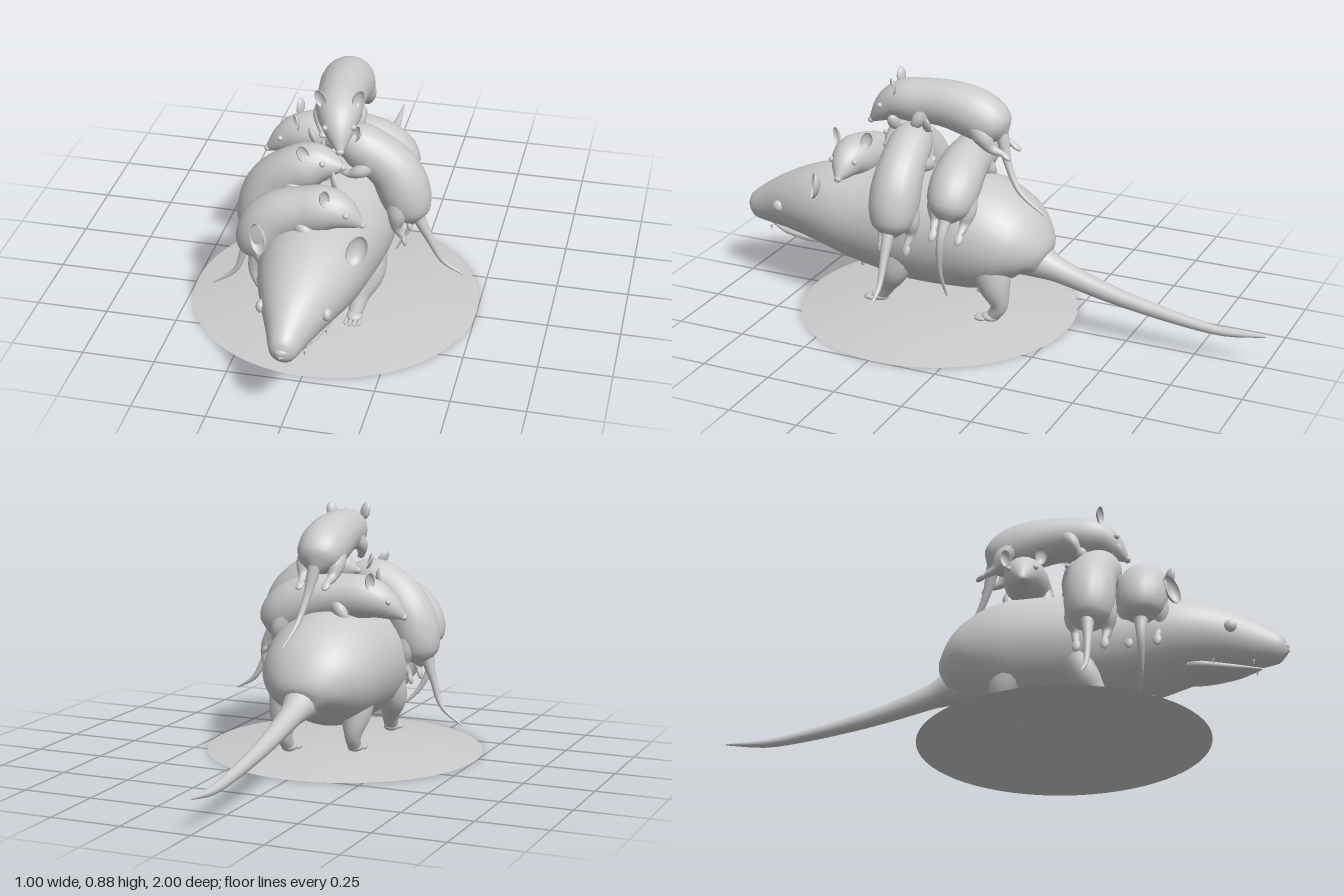
import * as THREE from 'three';

const V = (p) => new THREE.Vector3(...p);
const material = new THREE.MeshStandardMaterial({ color: 0xcccccc });
const thin = new THREE.MeshStandardMaterial({ color: 0xcccccc, side: THREE.DoubleSide });

function add(parent, name, geometry, pos = [0, 0, 0], scale = [1, 1, 1], mat = material) {
  const mesh = new THREE.Mesh(geometry, mat);
  mesh.name = name;
  mesh.position.set(...pos);
  mesh.scale.set(...scale);
  parent.add(mesh);
  return mesh;
}

const ball = new THREE.SphereGeometry(1, 16, 12);
const cup = new THREE.SphereGeometry(1, 20, 8, 0, Math.PI * 2, 0, Math.PI / 2).rotateX(-Math.PI / 2);

// Local axes on a path: side, up, forward, centre
function frame(curve, t, upAt) {
  const c = curve.getPoint(t);
  const f = curve.getTangent(t);
  const up = upAt(c).clone();
  up.addScaledVector(f, -up.dot(f)).normalize();
  return { c, f, up, side: new THREE.Vector3().crossVectors(up, f) };
}

// Skin of elliptical rings along a path; radii are numbers or [half width, half height]
function loft(points, radii, upAt = () => V([1, 0.13, 0.1]), rings = 24, sides = 16) {
  const path = new THREE.CatmullRomCurve3(points.map(V));
  const size = new THREE.CatmullRomCurve3(radii.map((r) => V(r.length ? [r[0], r[1], 0] : [r, r, 0])));
  const pos = [];
  const index = [];
  for (let i = 0; i <= rings; i++) {
    // rings gather towards both ends so they close roundly
    const t = 0.5 - 0.5 * Math.cos((Math.PI * i) / rings);
    const { c, up, side } = frame(path, t, upAt);
    const r = size.getPoint(t);
    for (let j = 0; j < sides; j++) {
      const a = (j / sides) * Math.PI * 2;
      const p = c.clone().addScaledVector(side, Math.cos(a) * r.x).addScaledVector(up, Math.sin(a) * r.y);
      pos.push(p.x, p.y, p.z);
      if (i < rings) {
        const k = (j + 1) % sides;
        const A = i * sides + j, B = i * sides + k;
        index.push(A, B, B + sides, A, B + sides, A + sides);
      }
    }
  }
  const g = new THREE.BufferGeometry();
  g.setAttribute('position', new THREE.Float32BufferAttribute(pos, 3));
  g.setIndex(index);
  g.computeVertexNormals();
  return g;
}

function ears(parent, x, y, z, w, h, turn) {
  for (const s of [-1, 1]) {
    const ear = add(parent, 'ear', cup, [s * x, y, z], [w, h, w * 0.7], thin);
    ear.rotation.set(-0.15, s * turn, -s * 0.25);
  }
}

function paw(parent, x, y, z, size) {
  add(parent, 'paw', ball, [x, y, z], [size, size * 0.6, size * 1.2]);
  for (let i = 0; i < 4; i++) {
    const o = (i - 1.5) * 0.5;
    add(parent, 'toe', ball, [x + o * size * 1.1, y - size * 0.2, z + size * (1.4 - Math.abs(o) * 0.3)],
      [size * 0.24, size * 0.3, size * 0.75]);
  }
}

// Adult: body and head in one skin, rows are [z, bottom, top, half width]
function adult() {
  const g = new THREE.Group();
  g.name = 'adult';
  const rows = [
    [-0.2, 0.235, 0.24, 0.002], [-0.185, 0.2, 0.285, 0.06], [-0.15, 0.17, 0.37, 0.13],
    [-0.08, 0.14, 0.465, 0.187], [0.05, 0.115, 0.535, 0.215], [0.25, 0.105, 0.53, 0.212],
    [0.45, 0.13, 0.508, 0.19], [0.6, 0.165, 0.497, 0.174], [0.7, 0.185, 0.47, 0.15],
    [0.8, 0.2, 0.425, 0.113], [0.9, 0.208, 0.365, 0.07], [0.97, 0.22, 0.315, 0.042], [0.998, 0.26, 0.262, 0.002],
  ];
  add(g, 'body', loft(rows.map((r) => [0, (r[1] + r[2]) / 2, r[0]]),
    rows.map((r) => [r[3], (r[2] - r[1]) / 2]), () => V([0, 1, 0]), 48, 32));
  add(g, 'tail', loft([[0, 0.26, -0.13], [0, 0.22, -0.25], [0, 0.165, -0.45], [0, 0.12, -0.7], [0, 0.105, -0.85], [0, 0.115, -1]],
    [0.075, 0.042, 0.03, 0.021, 0.015, 0.003]));
  // Mouth
  add(g, 'lowerJaw', loft([[0, 0.225, 0.55], [0, 0.21, 0.7], [0, 0.203, 0.82], [0, 0.205, 0.9]],
    [[0.1, 0.03], [0.095, 0.025], [0.055, 0.015], [0.005, 0.004]], () => V([0, 1, 0])));
  add(g, 'nose', ball, [0, 0.275, 0.975], [0.026, 0.018, 0.022]);
  const tooth = new THREE.ConeGeometry(0.005, 0.02, 8).rotateX(Math.PI);
  for (const s of [-1, 1]) {
    for (const [x, z] of [[0.05, 0.88], [0.09, 0.75]]) add(g, 'tooth', tooth, [s * x, 0.21, z]);
    add(g, 'eye', ball, [s * 0.108, 0.325, 0.815], [0.016, 0.022, 0.022]);
  }
  ears(g, 0.165, 0.455, 0.635, 0.036, 0.052, 0.6);
  add(g, 'bellyNub', ball, [0, 0.125, 0.53], [0.009, 0.025, 0.009]);
  // Legs
  for (const s of [-1, 1]) {
    add(g, 'frontLeg', loft([[s * 0.12, 0.28, 0.29], [s * 0.143, 0.18, 0.325], [s * 0.12, 0.11, 0.365], [s * 0.108, 0.055, 0.4]],
      [0.075, 0.053, 0.033, 0.024]));
    paw(g, s * 0.108, 0.05, 0.405, 0.028);
    const z = s < 0 ? 0.06 : -0.03;
    add(g, 'hindLeg', loft([[s * 0.1, 0.25, z + 0.01], [s * 0.115, 0.17, z - 0.02], [s * 0.112, 0.1, z - 0.035], [s * 0.108, 0.055, z - 0.01]],
      [0.085, 0.056, 0.03, 0.023]));
    paw(g, s * 0.108, 0.05, z, 0.028);
  }
  return g;
}

// Young: path runs from rump to nose, with the back turned away from the focus point
function young(name, points, tail, focus) {
  const g = new THREE.Group();
  g.name = name;
  const upAt = (c) => c.clone().sub(V(focus));
  const path = new THREE.CatmullRomCurve3(points.map(V));
  add(g, 'body', loft(points, [0.001, 0.07, 0.086, 0.089, 0.086, 0.082, 0.079, 0.078, 0.067, 0.042, 0.001], upAt, 36, 20));
  add(g, 'tail', loft(tail, [0.024, 0.014, 0.009, 0.003]));
  const local = (part, t) => {
    const { c, f, up, side } = frame(path, t, upAt);
    const group = new THREE.Group();
    group.name = part;
    group.position.copy(c);
    group.quaternion.setFromRotationMatrix(new THREE.Matrix4().makeBasis(side, up, f));
    g.add(group);
    return group;
  };
  ears(local('head', 0.78), 0.062, 0.07, -0.01, 0.021, 0.032, 0.5);
  const face = local('face', 0.87);
  for (const s of [-1, 1]) add(face, 'eye', ball, [s * 0.046, 0.025, 0], [0.01, 0.01, 0.01]);
  add(local('muzzle', 0.98), 'nose', ball, [0, 0, 0], [0.014, 0.012, 0.01]);
  const hips = local('hindLegs', 0.17);
  const shoulders = local('frontLegs', 0.62);
  for (const s of [-1, 1]) {
    add(hips, 'hindLeg', loft([[s * 0.04, -0.015, 0.03], [s * 0.056, -0.03, -0.02], [s * 0.054, -0.045, -0.065], [s * 0.048, -0.035, -0.11]],
      [0.045, 0.034, 0.018, 0.01]));
    add(shoulders, 'frontLeg', loft([[s * 0.045, -0.02, -0.02], [s * 0.066, -0.05, 0], [s * 0.062, -0.08, 0.02], [s * 0.05, -0.095, 0.05]],
      [0.035, 0.024, 0.014, 0.009]));
    add(hips, 'foot', ball, [s * 0.048, -0.035, -0.12], [0.015, 0.009, 0.024]);
    add(shoulders, 'hand', ball, [s * 0.05, -0.095, 0.055], [0.014, 0.009, 0.018]);
  }
  return g;
}

export function createModel() {
  const model = new THREE.Group();
  // Shallow open dome
  const dome = [[0.5, 0], [0.36, 0.021], [0.23, 0.036], [0.1, 0.041], [0, 0.042]];
  add(model, 'base', new THREE.LatheGeometry(dome.map((p) => new THREE.Vector2(...p)), 64), [0, 0, 0.22], [1, 1, 1], thin);
  model.add(adult());
  // Young draped over the back, from the shoulders towards the rump
  model.add(young('youngOnShoulders',
    [[-0.19, 0.32, 0.53], [-0.18, 0.41, 0.53], [-0.13, 0.485, 0.53], [-0.03, 0.525, 0.53], [0.07, 0.54, 0.535], [0.172, 0.49, 0.535]],
    [[-0.2, 0.34, 0.53], [-0.21, 0.26, 0.53], [-0.17, 0.17, 0.52], [-0.1, 0.1, 0.5]], [0, 0.25, 0.53]));
  model.add(young('youngOnRight',
    [[-0.24, 0.29, 0.36], [-0.222, 0.4, 0.36], [-0.18, 0.51, 0.36], [-0.11, 0.575, 0.37], [-0.02, 0.61, 0.37], [0.075, 0.615, 0.39]],
    [[-0.26, 0.33, 0.36], [-0.285, 0.25, 0.365], [-0.32, 0.15, 0.365], [-0.4, 0.085, 0.365]], [0, 0.25, 0.36]));
  model.add(young('youngOnLeft',
    [[0.28, 0.355, 0.27], [0.255, 0.46, 0.27], [0.215, 0.555, 0.27], [0.14, 0.62, 0.275], [0.06, 0.655, 0.28], [-0.03, 0.64, 0.29]],
    [[0.29, 0.4, 0.27], [0.34, 0.3, 0.268], [0.385, 0.22, 0.265], [0.455, 0.175, 0.265]], [0, 0.25, 0.27]));
  model.add(young('youngOnRump',
    [[0.23, 0.42, 0.085], [0.175, 0.51, 0.085], [0.08, 0.565, 0.095], [-0.04, 0.58, 0.11], [-0.16, 0.57, 0.12], [-0.27, 0.505, 0.14]],
    [[0.22, 0.45, 0.085], [0.26, 0.37, 0.09], [0.245, 0.26, 0.1], [0.19, 0.14, 0.1]], [0.02, 0.2, 0.1]));
  model.add(young('youngOnTop',
    [[0.005, 0.68, -0.045], [0.01, 0.745, 0.03], [0.015, 0.78, 0.14], [0.025, 0.787, 0.25], [0.043, 0.775, 0.355], [0.07, 0.695, 0.455]],
    [[0.01, 0.7, -0.03], [0.025, 0.6, -0.06], [0.04, 0.51, -0.11], [0.05, 0.44, -0.21]], [0.0, 0.1, 0.2]));
  return model;
}
